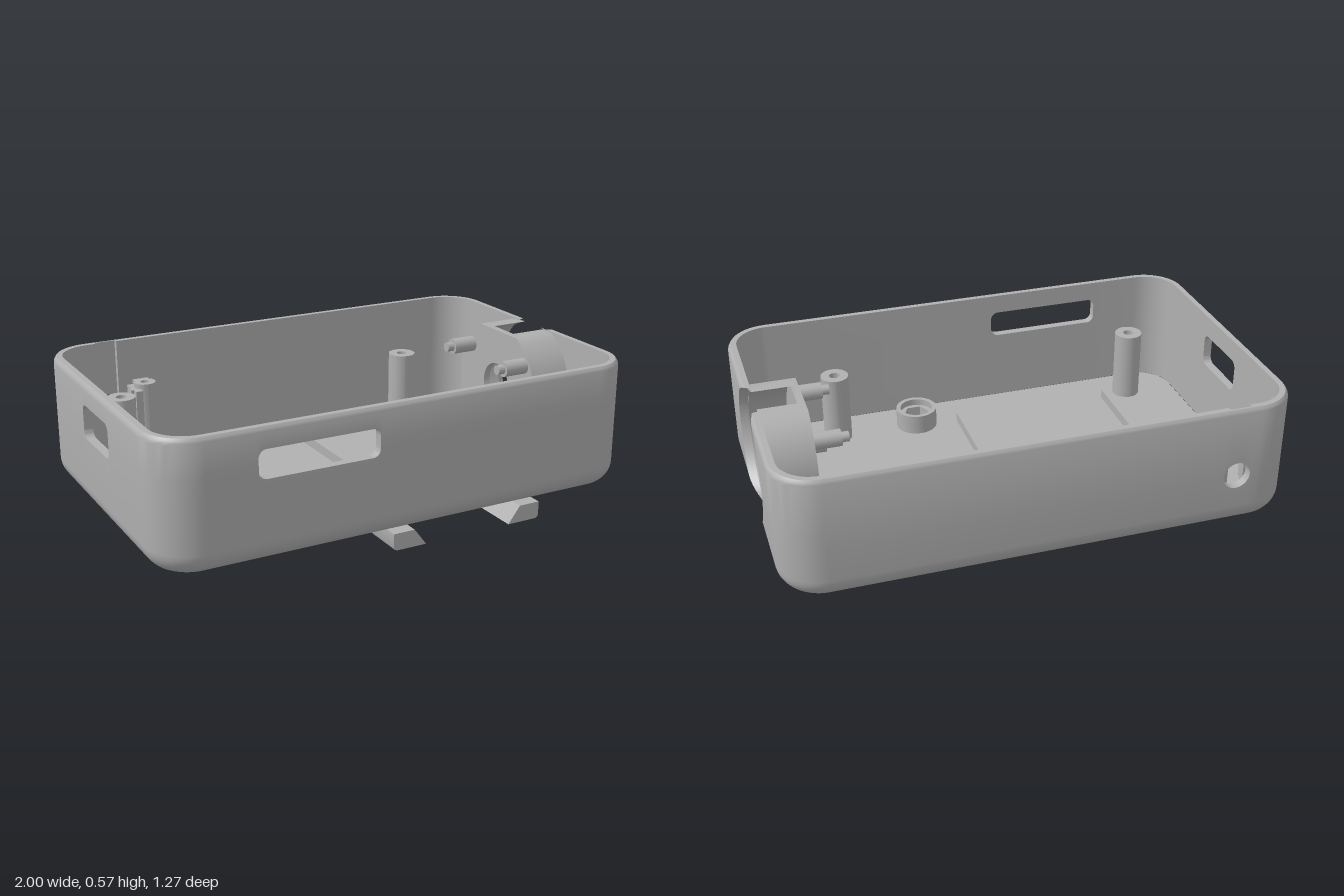
import * as THREE from 'three';
import { toCreasedNormals } from 'three/addons/utils/BufferGeometryUtils.js';

const TOP = 0.575, BASE = 0.06, FLOOR = 0.09, CORNER = 0.17, FILLET = 0.09, WALL = 0.035;
const grey = new THREE.MeshStandardMaterial({ color: 0xb0b0b0 });
grey.name = 'grey plastic';

export function createModel() {
  const model = new THREE.Group();
  model.name = 'enclosure';
  const add = (name, geo) => {
    const mesh = new THREE.Mesh(geo, grey);
    mesh.name = name;
    model.add(mesh);
    return mesh;
  };

  // Shape helpers: plan shapes use (x, z) and are extruded upwards from y0 to y1
  const circle = (x, y, r, C = THREE.Path) => new C().absarc(x, y, r, 0, Math.PI * 2, false);
  const roundRect = (x, y, a, b, r, C = THREE.Path) => {
    const s = new C();
    [[a, b], [-a, b], [-a, -b], [a, -b]].forEach(([px, py], i) =>
      s.absarc(x + Math.sign(px) * (a - r), y + Math.sign(py) * (b - r), r, i * Math.PI / 2, (i + 1) * Math.PI / 2, false));
    return s.closePath();
  };
  const extrude = (shape, depth) => new THREE.ExtrudeGeometry(shape, { depth, bevelEnabled: false, curveSegments: 20 });
  const smooth = (geo) => toCreasedNormals(geo, 0.6);
  const upright = (shape, y0, y1) => smooth(extrude(shape, y1 - y0).rotateX(-Math.PI / 2).translate(0, y0, 0));
  const S = THREE.Shape;

  // Shell: columns run round the outline; each may be split by a wall opening
  const columns = (inside) => {
    const holes = [
      { u: -0.395, y: 0.44, a: 0.24, b: 0.055, r: 0.03 },
      { u: 0, y: 0.335, a: 0.262, b: 0.262, r: 0.262 },
      { u: 0.746, y: 0.29, a: 0.055, b: 0.055, r: 0.055 },
      { u: 0, y: 0.4225, a: 0.14, b: 0.0675, r: 0.03 },
    ];
    if (inside) Object.assign(holes[1], { a: 0.247, b: 0.247, r: 0.247 });
    const list = [];
    holes.forEach(({ u, y, a, b, r }, k) => {
      const phi = k * Math.PI / 2, nx = Math.sin(phi), nz = Math.cos(phi);
      const D = k % 2 ? 1 : 0.635, L = (k % 2 ? 0.635 : 1) - CORNER;
      const col = (t, h) => list.push({
        x: nx * D + nz * t, z: nz * D - nx * t, nx, nz,
        lo: y - h, hi: Math.min(TOP, y + h), groove: k === 2 && Math.abs(t - u) < 0.042,
      });
      col(-L, 0);
      col(u - a, 0);
      const N = 40;
      for (let i = 0; i <= N; i++) {
        const dx = -a * Math.cos(Math.PI * i / N);
        const e = Math.max(0, Math.abs(dx) - (a - r));
        col(u + dx, b - r + Math.sqrt(Math.max(0, r * r - e * e)));
      }
      col(u + a, 0);
      col(L, 0);
      const cx = nx * (D - CORNER) + nz * L, cz = nz * (D - CORNER) - nx * L;
      for (let i = 1; i < 12; i++) {
        const p = phi + i / 12 * Math.PI / 2, sx = Math.sin(p), sz = Math.cos(p);
        list.push({ x: cx + CORNER * sx, z: cz + CORNER * sz, nx: sx, nz: sz, lo: y, hi: y });
      }
    });
    return list;
  };
  const outer = columns(false), inner = columns(true);
  const outerInset = (c, y) => {
    if (y < BASE + FILLET) return FILLET - Math.sqrt(Math.max(0, FILLET ** 2 - (BASE + FILLET - y) ** 2));
    return y > 0.55 ? 0.012 * ((y - 0.55) / 0.025) ** 2 : 0;
  };
  const innerInset = (c, y) => (c.groove && y >= c.hi ? 0.02 : WALL);
  const point = (c, y, inset) => {
    const d = inset(c, y);
    return [c.x - c.nx * d, y, c.z - c.nz * d];
  };
  const pos = [];
  const quad = (a, b, c, d, flip) => pos.push(...(flip ? [a, c, b, a, d, c] : [a, b, c, a, c, d]).flat());
  const skin = (cols, ys, inset, flip) => cols.forEach((c, i) => {
    const n = cols[(i + 1) % cols.length];
    for (const cut of [(q, y) => Math.min(y, q.lo), (q, y) => Math.max(y, q.hi)])
      for (let k = 0; k < ys.length - 1; k++)
        quad(point(c, cut(c, ys[k]), inset), point(n, cut(n, ys[k]), inset),
          point(n, cut(n, ys[k + 1]), inset), point(c, cut(c, ys[k + 1]), inset), flip);
  });
  const rounding = Array.from({ length: 9 }, (_, i) => BASE + FILLET * (1 - Math.cos(i / 8 * Math.PI / 2)));
  const arcYs = rounding.map((y) => y);
  for (let i = 0; i <= 8; i++) arcYs[i] = BASE + FILLET * (1 - Math.cos(i / 8 * Math.PI / 2));
  skin(outer, [...arcYs, 0.55, 0.558, 0.567, TOP], outerInset, false);
  skin(inner, [FLOOR, 0.3, TOP], innerInset, true);
  // Rim and the edges of the wall openings
  outer.forEach((c, i) => {
    const j = (i + 1) % outer.length, n = outer[j], ci = inner[i], ni = inner[j];
    const strip = (f, flip) => quad(point(c, f(c), outerInset), point(n, f(n), outerInset),
      point(ni, f(ni), innerInset), point(ci, f(ci), innerInset), flip);
    const open = c.hi >= TOP && n.hi >= TOP;
    if (!open) strip(() => TOP, false);
    if (c.lo === c.hi && n.lo === n.hi) return;
    strip((q) => q.lo, false);
    if (!open) strip((q) => q.hi, true);
  });
  const shell = new THREE.BufferGeometry();
  shell.setAttribute('position', new THREE.Float32BufferAttribute(pos, 3));
  add('shell', toCreasedNormals(shell, 0.6));

  // Floor in two layers, with screw holes, vents and the nut hole
  const posts = [[-0.745, 0.447], [-0.745, -0.447], [0.58, 0.447], [0.58, -0.447]];
  const nut = [0.233, 0.45];
  const floorLayer = (name, inset, y0, y1, screw) => {
    const s = roundRect(0, 0, 1 - inset, 0.635 - inset, CORNER - inset, S);
    posts.forEach(([x, z]) => s.holes.push(circle(x, -z, screw)));
    for (let i = -2; i <= 2; i++) s.holes.push(roundRect(-0.782, i * 0.056, 0.088, 0.014, 0.0135));
    s.holes.push(circle(nut[0], -nut[1], 0.032));
    add(name, upright(s, y0, y1));
  };
  floorLayer('floorUnderside', FILLET, BASE, 0.079, 0.037);
  floorLayer('floorTop', 0.036, 0.079, FLOOR, 0.022);

  // Screw posts
  posts.forEach(([x, z]) => {
    const s = circle(x, -z, 0.058, S);
    s.holes.push(circle(x, -z, 0.022));
    add('screwPost', upright(s, 0.085, 0.385));
  });

  // Nut boss: hexagonal pocket below a round mouth
  const bossLow = circle(nut[0], -nut[1], 0.086, S);
  const hex = new THREE.Path();
  hex.setFromPoints(Array.from({ length: 6 }, (_, i) => new THREE.Vector2(
    nut[0] + 0.054 * Math.cos(i * Math.PI / 3), -nut[1] + 0.054 * Math.sin(i * Math.PI / 3))));
  bossLow.holes.push(hex.closePath());
  add('nutPocket', upright(bossLow, 0.085, 0.145));
  const bossTop = circle(nut[0], -nut[1], 0.086, S);
  bossTop.holes.push(circle(nut[0], -nut[1], 0.068));
  add('nutBossMouth', upright(bossTop, 0.145, 0.172));

  // Floor ribs
  for (const x of [-0.635, 0.043])
    add('floorRib', upright(roundRect(x, 0, 0.017, 0.435, 0.016, S), 0.085, 0.13));

  // Round side housing, cut flat just under the rim
  const hy = 0.335, flat = 0.235, R = 0.27, r = 0.245;
  const A = Math.asin(flat / R), B = Math.asin(flat / r);
  const sideways = (shape, x0, x1) => {
    const g = extrude(shape, x1 - x0).rotateY(Math.PI / 2).translate(x0, 0, 0);
    const p = g.attributes.position;
    for (let i = 0; i < p.count; i++) p.setY(i, Math.max(p.getY(i), 0.083));
    return smooth(g);
  };
  const sleeve = new S();
  sleeve.absarc(0, hy, R, Math.PI - A, Math.PI * 2 + A, false);
  sleeve.absarc(0, hy, r, Math.PI * 2 + B, Math.PI - B, true);
  add('housingSleeve', sideways(sleeve.closePath(), 0.8, 0.966));
  const back = new S();
  back.absarc(0, hy, R, Math.PI - A, Math.PI * 2 + A, false);
  back.closePath().holes.push(circle(0, hy, 0.09));
  add('housingBack', sideways(back, 0.785, 0.815));
  for (const z of [-0.19, 0.19]) for (const y of [0.22, 0.467])
    for (const [rad, x0, x1] of [[0.033, 0.68, 0.79], [0.02, 0.65, 0.69]])
      add('housingPin', new THREE.CylinderGeometry(rad, rad, x1 - x0, 24)
        .rotateZ(Math.PI / 2).translate((x0 + x1) / 2, y, z));

  // Switch holder on the back wall
  const box = (name, x0, x1, y0, y1, z0, z1) => add(name, new THREE.BoxGeometry(x1 - x0, y1 - y0, z1 - z0)
    .translate((x0 + x1) / 2, (y0 + y1) / 2, (z0 + z1) / 2));
  box('holderArm', -0.87, -0.832, 0.19, 0.4, -0.605, -0.49);
  box('holderArm', -0.665, -0.635, 0.19, 0.38, -0.605, -0.49);
  box('holderHook', -0.84, -0.822, 0.19, 0.4, -0.545, -0.52);
  box('holderHook', -0.675, -0.66, 0.19, 0.38, -0.545, -0.52);
  const ear = circle(-0.605, 0.55, 0.045, S);
  ear.holes.push(circle(-0.605, 0.55, 0.018));
  add('holderBoss', upright(ear, 0.19, 0.4));
  box('holderWeb', -0.64, -0.575, 0.19, 0.4, -0.605, -0.583);

  // Mounting shoe under the floor: dovetail rails closed at the back
  const mid = 0.2325;
  const rail = (s) => {
    const pts = [[0.327, 0.068], [0.327, 0.015], [0.323, 0.005], [0.312, 0], [0.187, 0], [0.238, 0.068]];
    const shape = new S(pts.map(([x, y]) => new THREE.Vector2(mid + s * x, y)));
    return extrude(shape, 0.726).translate(0, 0, -0.091);
  };
  add('shoeRailLeft', smooth(rail(1)));
  add('shoeRailRight', smooth(rail(-1)));
  const end = roundRect(mid, 0.085, 0.312, 0.1, 0.06, S);
  const endGeo = new THREE.ExtrudeGeometry(end, {
    depth: 0.045, bevelEnabled: true, bevelSize: 0.015, bevelThickness: 0.015, bevelSegments: 3, curveSegments: 12,
  }).rotateX(-Math.PI / 2).translate(0, 0.015, 0);
  const ep = endGeo.attributes.position;
  for (let i = 0; i < ep.count; i++) {
    // square off the front side, keep the rounded rear corners
    if (ep.getZ(i) > -0.09) ep.setXYZ(i, mid + Math.sign(ep.getX(i) - mid) * (ep.getY(i) < 0.004 ? 0.315 : 0.327), ep.getY(i), -0.09);
  }
  add('shoeEnd', smooth(endGeo));

  return model;
}
